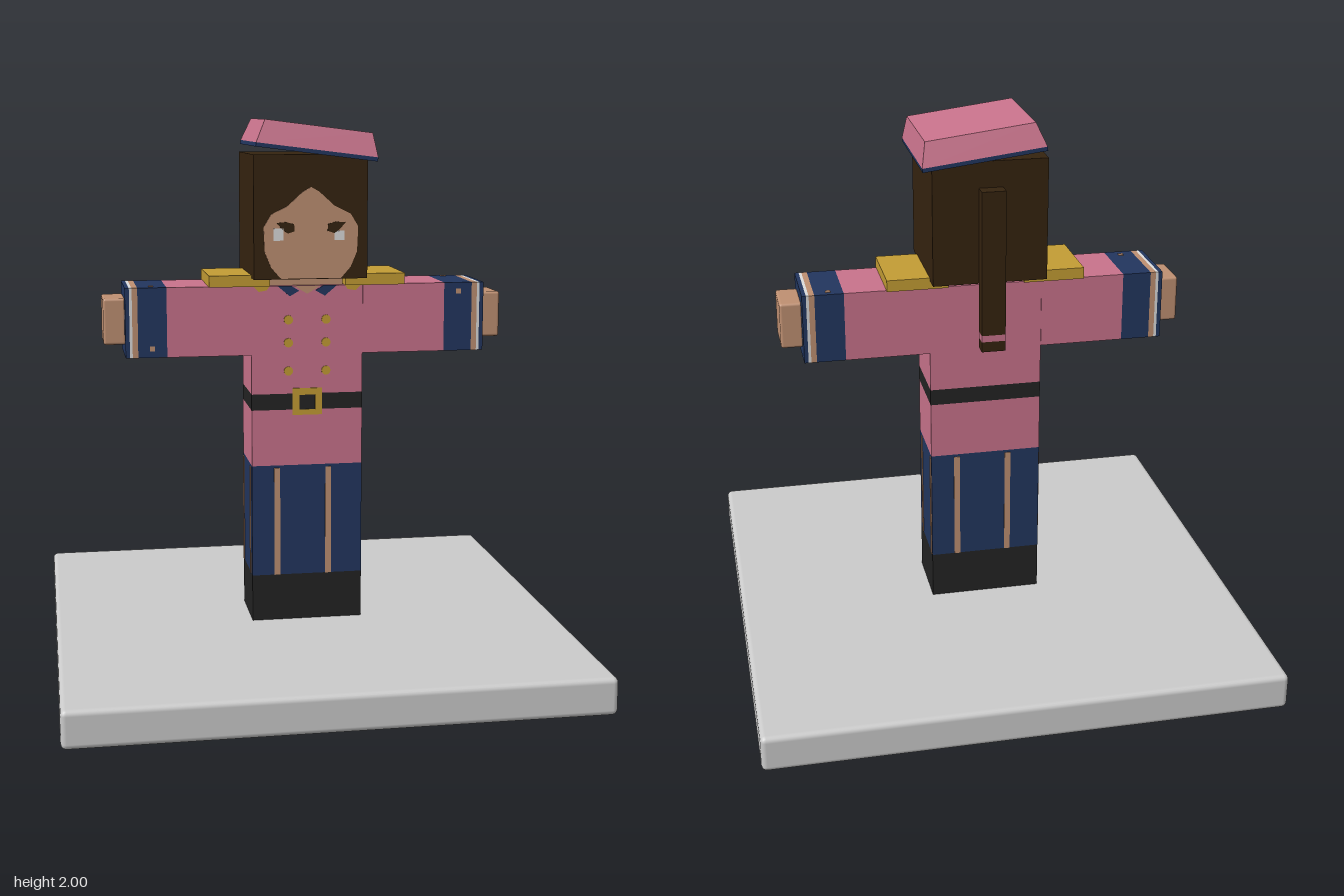
import * as THREE from 'three';
import { RoundedBoxGeometry } from 'three/addons/geometries/RoundedBoxGeometry.js';

const COLORS = {
  pink: 0xc9738c, navy: 0x22365f, skin: 0xbf9072, gold: 0xc49d34, brown: 0x35230f,
  black: 0x232323, grey: 0xcbcbcb, white: 0xdcdcdc,
};

export function createModel() {
  const root = new THREE.Group();
  root.name = 'toySoldier';
  const mats = {};
  for (const [name, color] of Object.entries(COLORS)) {
    mats[name] = new THREE.MeshStandardMaterial({ color });
    mats[name].name = name;
  }

  const add = (name, geo, mat, parent = root) => {
    const mesh = new THREE.Mesh(geo, mats[mat]);
    mesh.name = name;
    parent.add(mesh);
    return mesh;
  };
  // box from min and max on each axis, optionally rounded
  const box = (name, mat, [x0, x1], [y0, y1], [z0, z1], radius = 0, parent = root) => {
    const size = [x1 - x0, y1 - y0, z1 - z0];
    const geo = radius ? new RoundedBoxGeometry(...size, 2, radius) : new THREE.BoxGeometry(...size);
    const mesh = add(name, geo, mat, parent);
    mesh.position.set((x0 + x1) / 2, (y0 + y1) / 2, (z0 + z1) / 2);
    return mesh;
  };
  // thin painted plate facing +z, outlined by points
  const plate = (name, mat, points, z, hole) => {
    const shape = new THREE.Shape(points.map((p) => new THREE.Vector2(...p)));
    if (hole) shape.holes.push(new THREE.Path(hole.map((p) => new THREE.Vector2(...p))));
    const mesh = add(name, new THREE.ExtrudeGeometry(shape, { depth: 0.004, bevelEnabled: false }), mat);
    mesh.position.z = z;
    return mesh;
  };
  const rect = (x0, x1, y0, y1) => [[x0, y0], [x1, y0], [x1, y1], [x0, y1]];

  // stand
  box('stand', 'grey', [-0.94, 0.94], [0, 0.135], [-0.94, 0.94], 0.02);

  // body in stacked colour bands
  const W = 0.207, D = 0.127;
  for (const [name, mat, y0, y1] of [
    ['boots', 'black', 0.135, 0.31], ['trousers', 'navy', 0.31, 0.73], ['coatSkirt', 'pink', 0.73, 0.94],
    ['belt', 'black', 0.94, 1.0], ['coat', 'pink', 1.0, 1.4],
  ]) box(name, mat, [-W, W], [y0, y1], [-D, D]);

  // trouser stripes on all four sides
  const e = 0.003;
  for (const x of [-0.113, 0.08]) {
    box('frontStripe', 'skin', [x - 0.011, x + 0.011], [0.31, 0.72], [D, D + e]);
  }
  for (const x of [-0.085, 0.11]) {
    box('backStripe', 'skin', [x - 0.011, x + 0.011], [0.31, 0.72], [-D - e, -D]);
  }
  for (const s of [-1, 1]) for (const z of [0.08, -0.108]) {
    const x = s * (W + e / 2);
    box('sideStripe', 'skin', [x - e / 2, x + e / 2], [0.31, 0.72], [z - 0.01, z + 0.01]);
  }

  // buckle, buttons, collar
  plate('buckle', 'gold', rect(-0.055, 0.055, 0.92, 1.02), D, rect(-0.03, 0.03, 0.94, 0.995));
  box('buckleCentre', 'black', [-0.03, 0.03], [0.94, 0.995], [D, D + 0.002]);
  for (const x of [-0.07, 0.07]) for (const y of [1.275, 1.19, 1.085]) {
    const button = add('button', new THREE.CylinderGeometry(0.017, 0.017, 0.005, 12), 'gold');
    button.rotation.x = Math.PI / 2;
    button.position.set(x, y, D + 0.002);
  }
  plate('neckline', 'skin', [[-0.05, 1.4], [0, 1.37], [0.05, 1.4]], D - 0.002);
  for (const s of [-1, 1]) {
    plate('collar', 'navy', [[s * 0.03, 1.382], [s * 0.065, 1.362], [s * 0.11, 1.4], [s * 0.06, 1.4]], D);
    plate('collarTrim', 'gold', [[s * 0.15, 1.385], [s * 0.18, 1.38], [s * 0.2, 1.4], [s * 0.14, 1.4]], D);
  }

  // arms, cuffs, hands and shoulder pads
  const A = 0.13;
  for (const s of [-1, 1]) {
    const arm = new THREE.Group();
    arm.name = s > 0 ? 'leftArm' : 'rightArm';
    root.add(arm);
    const span = (a, b) => (s > 0 ? [a, b] : [-b, -a]);
    for (const [name, mat, a, b] of [
      ['sleeve', 'pink', W, 0.515], ['cuff', 'navy', 0.515, 0.62], ['cuffLining', 'skin', 0.62, 0.64],
      ['cuffTrim', 'white', 0.64, 0.65], ['cuffEdge', 'navy', 0.65, 0.665],
    ]) box(name, mat, span(a, b), [1.147, 1.402], [-A, A], 0, arm);
    box('hand', 'skin', span(0.66, 0.742), [1.19, 1.36], [-0.083, 0.083], 0.01, arm);
    box('shoulderPad', 'gold', span(0.14, 0.362), [1.4, 1.442], [-0.14, 0.14], 0, arm);
    // cuff studs
    const y = s > 0 ? 1.37 : 1.18, z = s > 0 ? -0.1 : 0.09;
    box('cuffStud', 'skin', span(0.56, 0.578), [y - 0.009, y + 0.009], [A, A + e], 0, arm);
    box('cuffStud', 'skin', span(0.56, 0.578), [1.402, 1.405], [z - 0.009, z + 0.009], 0, arm);
  }

  // head
  box('neck', 'skin', [-0.135, 0.135], [1.4, 1.44], [-0.11, 0.11]);
  const H = 0.207;
  box('hair', 'brown', [-H, H], [1.432, 1.877], [-H, H]);
  const half = [[0.03, 1.745], [0.085, 1.695], [0.145, 1.665], [0.172, 1.62], [0.168, 1.53], [0.145, 1.475], [0.11, 1.435]];
  const mirrored = half.map(([x, y]) => [-x, y]).reverse();
  plate('face', 'skin', [[0, 1.762], ...half, ...mirrored], H);
  for (const s of [-1, 1]) {
    const F = H + 0.003;
    plate('eyelid', 'brown', [[s * 0.06, 1.605], [s * 0.085, 1.597], [s * 0.105, 1.612],
      [s * 0.125, 1.635], [s * 0.09, 1.638], [s * 0.062, 1.63]], F);
    plate('eyeWhite', 'white', s < 0 ? rect(-0.137, -0.1, 1.572, 1.615) : rect(0.085, 0.122, 1.572, 1.605), F);
  }

  // pigtail
  for (const [name, mat, y0, y1] of [
    ['pigtail', 'brown', 1.252, 1.782], ['hairTie', 'pink', 1.228, 1.252], ['pigtailEnd', 'brown', 1.19, 1.228],
  ]) box(name, mat, [-0.045, 0.042], [y0, y1], [-0.26, -H]);

  // tilted cap: navy band with a tapered crown
  const cap = new THREE.Group();
  cap.name = 'cap';
  cap.position.set(0.02, 1.878, 0);
  cap.rotation.z = -0.124;
  root.add(cap);
  box('capBand', 'navy', [-0.222, 0.222], [0, 0.015], [-0.22, 0.22], 0, cap);
  const crown = new THREE.BoxGeometry(0.444, 0.084, 0.44);
  const pos = crown.attributes.position;
  for (let i = 0; i < pos.count; i++) {
    if (pos.getY(i) > 0) pos.setXYZ(i, pos.getX(i) * 0.885, pos.getY(i), pos.getZ(i) * 0.87);
  }
  crown.computeVertexNormals();
  add('capCrown', crown, 'pink', cap).position.y = 0.057;

  return root;
}
